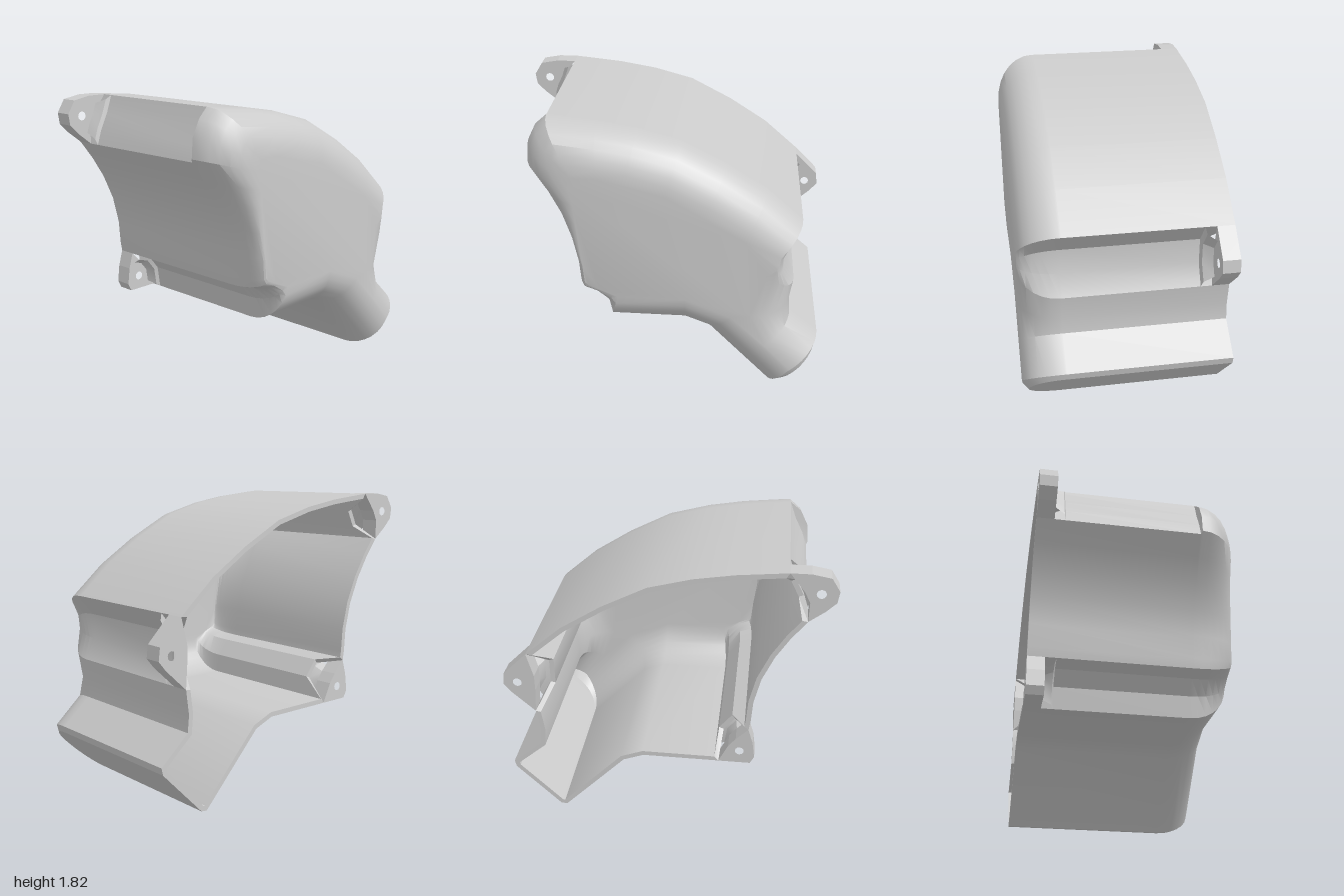
import * as THREE from 'three';
import { toCreasedNormals } from 'three/addons/utils/BufferGeometryUtils.js';

const BACK = -0.65, POCKET = -0.5, SHOULDER = 0.39, FRONT = 0.64, WALL = 0.03;

// Housing cross-section, counter-clockwise:
// [wall x, wall y, face-edge x, face-edge y, drop of the face edge]
const SPOUT_END = [
  [0.65, 0.01, 0.79, 0.193], [0.69, 0.015, 0.825, 0.153, 0.04],
  [0.97, 0.305, 0.84, 0.168, 0.04], [0.98, 0.35, 0.803, 0.205],
];
const ELBOW = [[0.79, 0.515, 0.63, 0.39], [0.78, 0.62, 0.53, 0.62]];
const RIGHT_RECESS = [
  [0.80, 0.77, 0.62, 0.92], [0.73, 0.90, 0.67, 0.955],
  [0.73, 1.06, 0.68, 0.975], [0.83, 1.19, 0.66, 1.01],
];
const TOP = [
  [0.60, 1.39, 0.47, 1.16], [0.35, 1.55, 0.23, 1.32], [0.08, 1.69, 0.00, 1.44],
  [-0.18, 1.76, -0.24, 1.51], [-0.42, 1.80, -0.40, 1.54],
];
const TOP_RECESS = [
  [-0.72, 1.83, -0.54, 1.56], [-0.76, 1.72, -0.55, 1.54],
  [-0.81, 1.62, -0.56, 1.51], [-0.84, 1.53, -0.57, 1.47],
];
// The top corner is rounded out again where the front dome begins
const TOP_CORNER = [
  [-0.72, 1.83, -0.54, 1.56], [-0.79, 1.77, -0.55, 1.54],
  [-0.84, 1.67, -0.56, 1.51], [-0.85, 1.55, -0.57, 1.47],
];
const SIDE = [
  [-0.75, 1.41, -0.55, 1.36], [-0.67, 1.28, -0.54, 1.24], [-0.60, 1.12, -0.53, 1.09],
  [-0.56, 0.95, -0.51, 0.94], [-0.55, 0.80, -0.50, 0.82],
];
const LOW_RECESS = [
  [-0.54, 0.74, -0.48, 0.80], [-0.45, 0.71, -0.41, 0.77],
  [-0.38, 0.62, -0.33, 0.73], [-0.36, 0.48, -0.30, 0.72],
];
const BOTTOM = [[0.12, 0.48, 0.12, 0.72], [0.25, 0.43, 0.41, 0.60]];
const profile = corner => [...SPOUT_END, ...ELBOW, ...RIGHT_RECESS, ...TOP, ...corner,
  ...SIDE, ...LOW_RECESS, ...BOTTOM];
const PROFILE = profile(TOP_RECESS);

// Recess points whose wall stops short of the rim, opening a pocket into the lug
const POCKETS = [RIGHT_RECESS, TOP_RECESS, LOW_RECESS].flatMap(r => r.slice(1, -1));

const V = (x, y) => new THREE.Vector2(x, y);

// Moves a closed counter-clockwise loop inward by a wall thickness
function inset(loop, d) {
  const n = loop.length;
  const normal = (a, b) => V(a.y - b.y, b.x - a.x).normalize();
  return loop.map((p, i) => {
    const n1 = normal(loop[(i + n - 1) % n], p), n2 = normal(p, loop[(i + 1) % n]);
    const s = d / Math.max(0.5, 1 + n1.dot(n2));
    return p.clone().addScaledVector(n1.add(n2), s);
  });
}

// Rings of a straight wall, then of the dome that rounds over into the front face
function wallRings(wall, dome, face, front) {
  const rings = [
    wall.map((p, i) => [p.x, p.y, POCKETS.includes(PROFILE[i]) ? POCKET : BACK]),
    wall.map(p => [p.x, p.y, SHOULDER - 0.01]),
  ];
  const steps = 7;
  for (let k = 0; k <= steps; k++) {
    const t = (k / steps) * Math.PI / 2;
    rings.push(dome.map((p, i) => {
      const q = p.clone().lerp(face[i], 1 - Math.cos(t));
      const top = front - (PROFILE[i][4] ?? 0);
      return [q.x, q.y, SHOULDER + (top - SHOULDER) * Math.sin(t)];
    }));
  }
  return rings;
}

// Side faces between successive rings
function loft(rings) {
  const pos = [], n = rings[0].length;
  for (let k = 0; k < rings.length - 1; k++) {
    for (let i = 0; i < n; i++) {
      const j = (i + 1) % n;
      const a = rings[k][i], b = rings[k][j], c = rings[k + 1][j], d = rings[k + 1][i];
      pos.push(...a, ...b, ...c, ...a, ...c, ...d);
    }
  }
  return pos;
}

function creased(pos) {
  const g = new THREE.BufferGeometry();
  g.setAttribute('position', new THREE.Float32BufferAttribute(pos, 3));
  return toCreasedNormals(g, 0.5);
}

// Hollow housing: inner skin, open back rim and outer skin in one loft
function housingGeometry() {
  const wall = PROFILE.map(p => V(p[0], p[1]));
  const dome = profile(TOP_CORNER).map(p => V(p[0], p[1]));
  const face = PROFILE.map(p => V(p[2], p[3]));
  const innerFace = face.map((p, i) =>
    i < SPOUT_END.length ? V(p.x - 0.021, p.y + 0.021) : p.clone());
  const rings = [
    ...wallRings(inset(wall, WALL), inset(dome, WALL), innerFace, FRONT - WALL).reverse(),
    ...wallRings(wall, dome, face, FRONT),
  ];
  const pos = loft(rings);
  // Front plate, outside and inside
  const last = rings[rings.length - 1], first = rings[0];
  for (const [a, b, c] of THREE.ShapeUtils.triangulateShape(face, [])) {
    pos.push(...last[a], ...last[b], ...last[c]);
    pos.push(...first[a], ...first[c], ...first[b]);
  }
  return creased(pos);
}

// Drilled plate at the back rim, cut back from the recess wall to leave the pocket
function plateGeometry(wall, rim, hole) {
  const cut = wall.map((p, i) =>
    i > 0 && i < wall.length - 1 ? p.clone().lerp(hole, 0.35) : p);
  const shape = new THREE.Shape([...cut, ...rim]);
  const h = new THREE.Path();
  h.absarc(hole.x, hole.y, 0.028, 0, Math.PI * 2, true);
  shape.holes.push(h);
  const g = new THREE.ExtrudeGeometry(shape, { depth: 0.11, bevelEnabled: false, curveSegments: 6 });
  return g.translate(0, 0, BACK);
}

// Sloped rib that closes the pocket between plate and recess wall
function ribGeometry(wall, hole) {
  const section = (s, z) => wall.map(p => {
    const q = p.clone().lerp(hole, s);
    return [q.x, q.y, z];
  });
  const sections = [section(0.4, -0.54), section(0.2, -0.48), section(0, -0.47)];
  const pos = [];
  for (let k = 0; k < 2; k++) {
    const a = sections[k], b = sections[k + 1];
    for (let i = 0; i < wall.length - 1; i++) {
      pos.push(...a[i], ...b[i + 1], ...b[i], ...a[i], ...a[i + 1], ...b[i + 1]);
    }
  }
  return creased(pos);
}

function addLug(group, name, recess, rim, hole, material, ribMaterial) {
  const lug = new THREE.Group();
  lug.name = name;
  const wall = recess.map(p => V(p[0], p[1]));
  const plate = new THREE.Mesh(plateGeometry(wall, rim.map(p => V(...p)), hole), material);
  plate.name = name + 'Plate';
  const rib = new THREE.Mesh(ribGeometry(wall, hole), ribMaterial);
  rib.name = name + 'Rib';
  lug.add(plate, rib);
  group.add(lug);
}

export function createModel() {
  const group = new THREE.Group();
  group.name = 'ductHousing';
  const material = new THREE.MeshStandardMaterial({ color: 0xcccccc });
  const ribMaterial = new THREE.MeshStandardMaterial({ color: 0xcccccc, side: THREE.DoubleSide });

  const housing = new THREE.Mesh(housingGeometry(), material);
  housing.name = 'housingShell';
  group.add(housing);

  addLug(group, 'rightLug', RIGHT_RECESS,
    [[0.90, 1.12], [0.98, 1.04], [0.99, 0.96], [0.94, 0.90]], V(0.9, 0.98), material, ribMaterial);
  addLug(group, 'topLug', TOP_RECESS,
    [[-0.93, 1.6], [-0.99, 1.66], [-1, 1.73], [-0.95, 1.81], [-0.84, 1.83]], V(-0.9, 1.71), material, ribMaterial);
  addLug(group, 'lowerLug', LOW_RECESS,
    [[-0.56, 0.48], [-0.585, 0.53], [-0.57, 0.64]], V(-0.49, 0.57), material, ribMaterial);

  return group;
}
